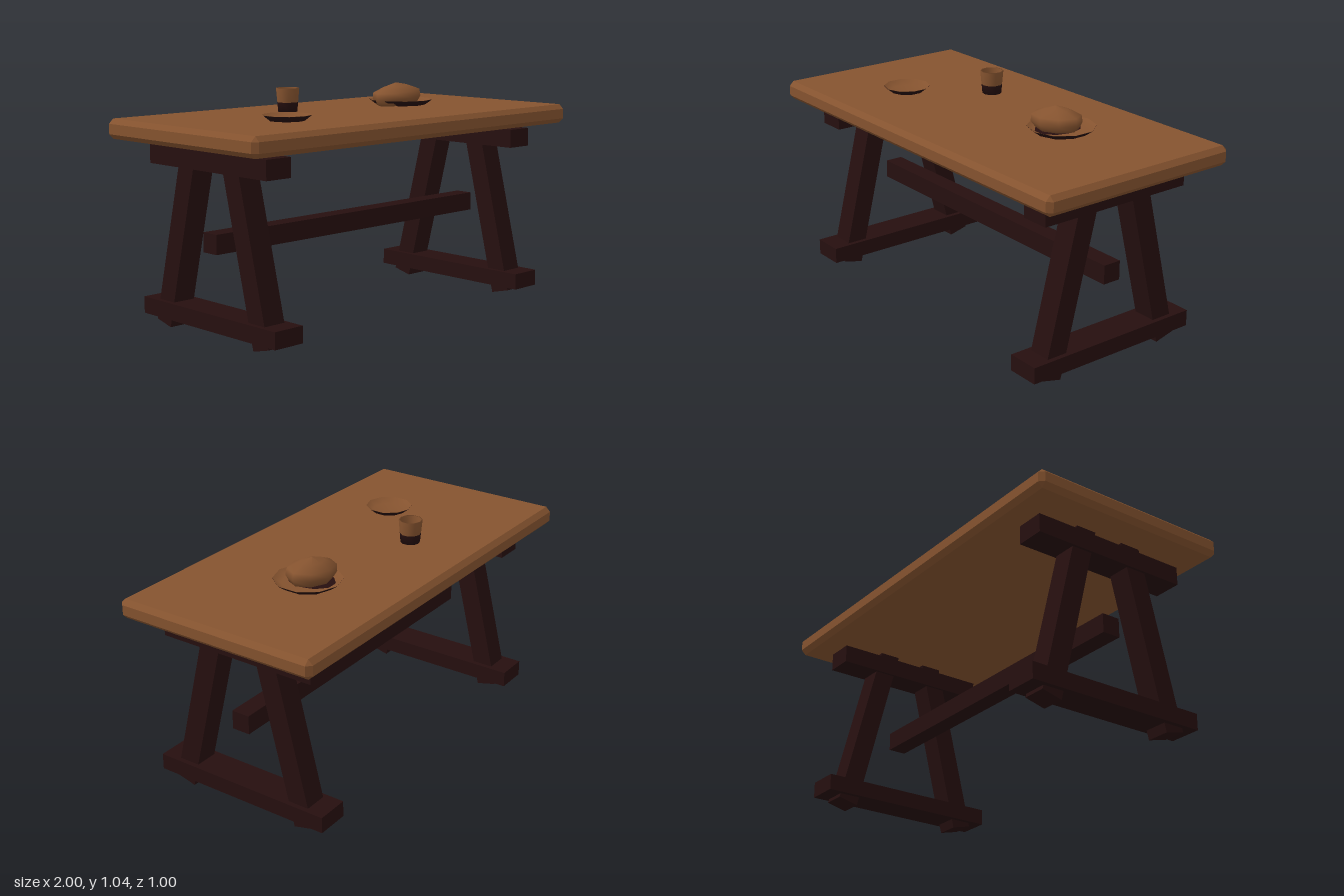
import * as THREE from 'three';
import { ConvexGeometry } from 'three/addons/geometries/ConvexGeometry.js';

const material = (name, color) => {
  const m = new THREE.MeshStandardMaterial({ color, side: THREE.DoubleSide });
  m.name = name;
  return m;
};

export function createModel() {
  const model = new THREE.Group();
  model.name = 'trestleTable';
  const brown = material('warm brown', 0x85532f);
  const dark = material('dark wood', 0x260f0f);

  const add = (parent, name, geometry, mat, x = 0, y = 0, z = 0) => {
    const mesh = new THREE.Mesh(geometry, mat);
    mesh.name = name;
    mesh.position.set(x, y, z);
    parent.add(mesh);
    return mesh;
  };
  const box = (w, h, d) => new THREE.BoxGeometry(w, h, d);
  const lathe = (points, sides = 10) =>
    new THREE.LatheGeometry(points.map(([r, y]) => new THREE.Vector2(r, y)), sides);

  // Tabletop: box with every edge and corner chamfered
  const half = [1, 0.045, 0.5];
  const chamfer = 0.022;
  const corners = [];
  for (const sx of [-1, 1]) for (const sy of [-1, 1]) for (const sz of [-1, 1]) {
    for (let axis = 0; axis < 3; axis++) {
      const p = half.map((h, i) => (i === axis ? h : h - chamfer));
      corners.push(new THREE.Vector3(sx * p[0], sy * p[1], sz * p[2]));
    }
  }
  add(model, 'tabletop', new ConvexGeometry(corners), brown, 0, 0.89, 0);

  // Two trestles, each with a pair of splayed legs and two cross beams
  const tilt = 0.244;
  const legLength = 0.89;
  for (const side of [-1, 1]) {
    const trestle = new THREE.Group();
    trestle.name = side > 0 ? 'leftTrestle' : 'rightTrestle';
    trestle.position.x = side * 0.78;
    model.add(trestle);
    for (const s of [-1, 1]) {
      const leg = add(trestle, s > 0 ? 'frontLeg' : 'backLeg', box(0.11, legLength, 0.099), dark,
        0, 0.015 + Math.cos(tilt) * legLength / 2, s * (0.331 - Math.sin(tilt) * legLength / 2));
      leg.rotation.x = -s * tilt;
    }
    add(trestle, 'upperBeam', box(0.135, 0.087, 0.78), dark, 0, 0.778, 0);
    add(trestle, 'footBeam', box(0.155, 0.076, 0.89), dark, 0, 0.083, 0);
  }
  add(model, 'stretcher', box(1.66, 0.088, 0.088), dark, 0, 0.422, 0);

  // Shallow plates: dark underside, brown inside
  const plate = (name, radius, floor, x, z) => {
    const group = new THREE.Group();
    group.name = name;
    group.position.set(x, 0.936, z);
    model.add(group);
    add(group, 'underside', lathe([[0, 0], [floor, 0], [radius, 0.025]]), dark);
    add(group, 'inside', lathe([[radius, 0.026], [floor, 0.005], [0, 0.005]]), brown);
    return group;
  };
  plate('smallPlate', 0.11, 0.078, -0.5, 0.13);
  const breadPlate = plate('breadPlate', 0.155, 0.12, 0.415, -0.06);

  // Dark patch on the plate around the bread
  const patch = add(breadPlate, 'darkPatch', new THREE.CircleGeometry(1, 10), dark, -0.025, 0.0075, 0);
  patch.rotation.x = -Math.PI / 2;
  patch.scale.set(0.09, 0.115, 1);

  // Bread: low faceted loaf with a peaked top, slightly tilted
  const loaf = lathe([[0, 0], [0.85, 0], [1, 0.03], [0.97, 0.062], [0.5, 0.085], [0, 0.102]], 8);
  const bread = add(model, 'bread', loaf, brown, 0.387, 0.943, -0.056);
  bread.scale.set(0.136, 1, 0.096);
  bread.rotation.z = 0.08;

  // Open cup with a dark base
  const cup = new THREE.Group();
  cup.name = 'cup';
  cup.position.set(-0.225, 0.935, -0.17);
  model.add(cup);
  add(cup, 'base', lathe([[0, 0.001], [0.045, 0.001], [0.049, 0.045]]), dark);
  add(cup, 'wall', lathe([[0.049, 0.045], [0.055, 0.11], [0.049, 0.11], [0.043, 0.04]]), brown);
  add(cup, 'insideBottom', lathe([[0.043, 0.04], [0.04, 0.008], [0, 0.008]]), dark);

  return model;
}
